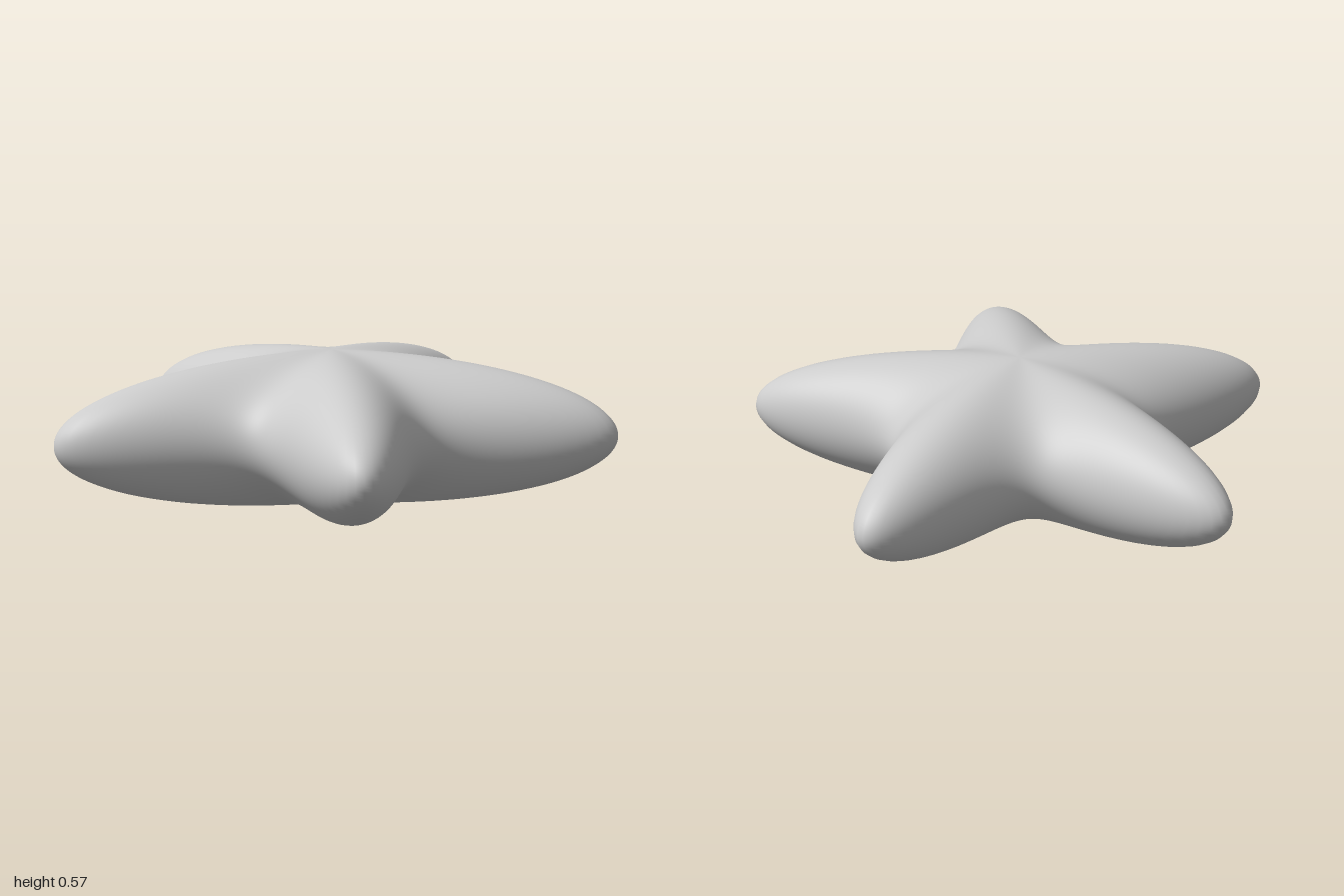
import * as THREE from 'three';
import { mergeVertices } from 'three/addons/utils/BufferGeometryUtils.js';

const ARMS = 5;
const TIP = 1.05;          // centre to arm tip
const HALF_HEIGHT = 0.284;
const CENTRE_Z = 0.094;

// Smooth star outline: radius TIP at the tips, half of that in the valleys.
// The angle is measured from the arm that points to the back (-z).
function starRadius(angle) {
  return TIP / Math.sqrt(1 - 0.75 * Math.sin(ARMS * angle / 2) ** 2);
}

// The formula above is smallest at angle 0, so shape it with the valley there
function outline(angle) {
  return starRadius(angle + Math.PI / ARMS) / 2;
}

export function createModel() {
  const group = new THREE.Group();
  group.name = 'starfish';

  // A unit sphere pushed outwards into five rounded arms
  let geometry = new THREE.SphereGeometry(1, 240, 80);
  geometry.deleteAttribute('uv');
  geometry.deleteAttribute('normal');
  const pos = geometry.attributes.position;
  for (let i = 0; i < pos.count; i++) {
    const x = pos.getX(i), y = pos.getY(i), z = pos.getZ(i);
    const r = outline(Math.atan2(x, -z));
    pos.setXYZ(i, x * r, y * HALF_HEIGHT, z * r);
  }

  // Weld seam and poles so the shading stays smooth
  geometry = mergeVertices(geometry, 1e-5);
  geometry.computeVertexNormals();

  const body = new THREE.Mesh(geometry, new THREE.MeshStandardMaterial({ color: 0xcccccc }));
  body.name = 'starBody';
  body.position.set(0, HALF_HEIGHT + 0.003, CENTRE_Z);
  group.add(body);
  return group;
}
